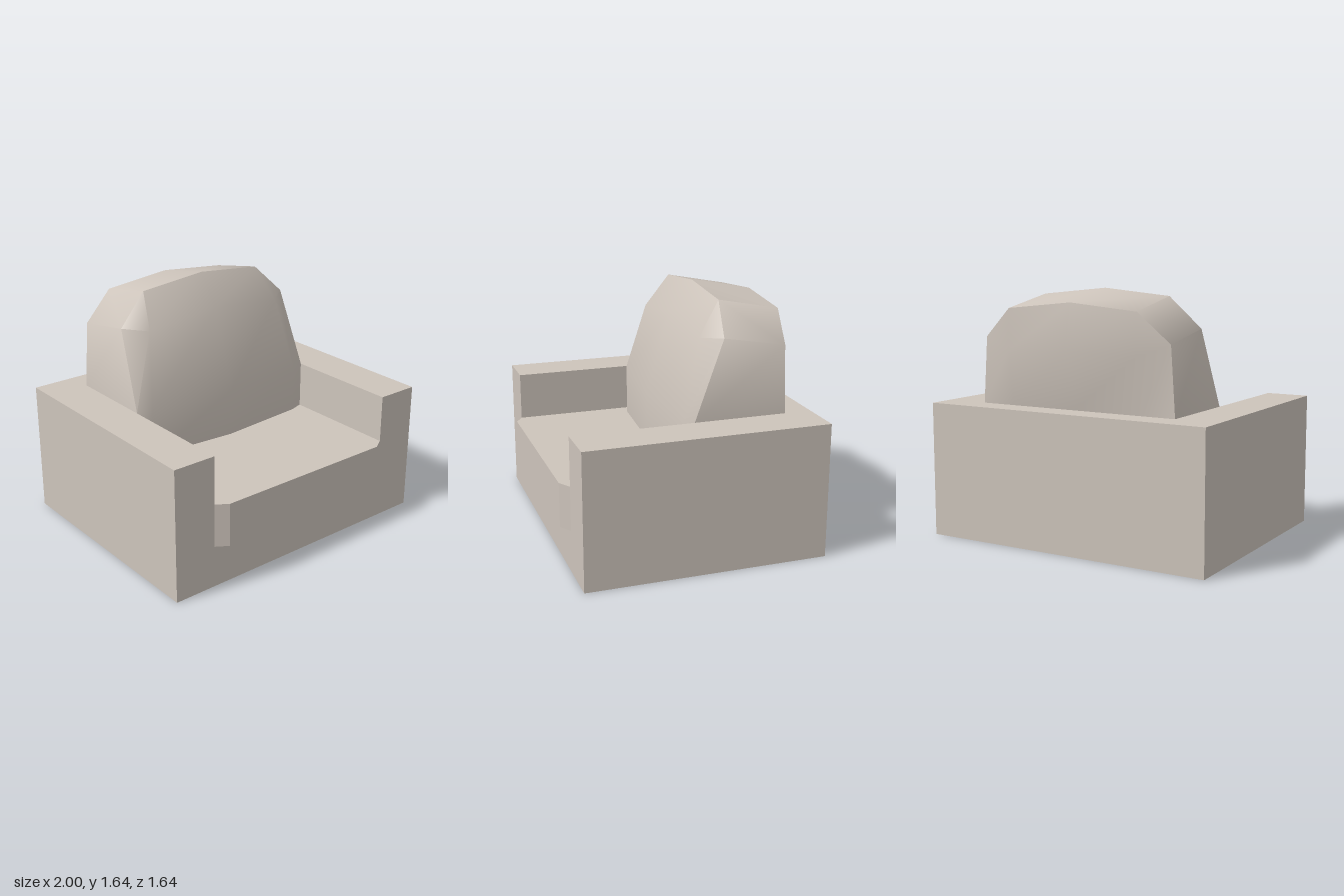
import * as THREE from 'three';
import { toCreasedNormals } from 'three/addons/utils/BufferGeometryUtils.js';

const W = 1, INNER = 0.71, H = 0.89, SEAT = 0.57, SEAM = 0.28, FRONT = 0.77, BACK = -0.82;

// Non-indexed surface from polygons, each a convex counter-clockwise loop of points
function surface(polygons, crease = 0.3) {
  const pos = [];
  for (const p of polygons) {
    for (let i = 1; i < p.length - 1; i++) pos.push(...p[0], ...p[i], ...p[i + 1]);
  }
  const g = new THREE.BufferGeometry();
  g.setAttribute('position', new THREE.Float32BufferAttribute(pos, 3));
  return toCreasedNormals(g, crease);
}

// Quads between successive rows of points
function loft(rows) {
  const out = [];
  for (let i = 0; i < rows.length - 1; i++) {
    for (let j = 0; j < rows[i].length - 1; j++) {
      out.push([rows[i][j], rows[i][j + 1], rows[i + 1][j + 1], rows[i + 1][j]]);
    }
  }
  return out;
}

const flip = (p) => p.map(([x, y, z]) => [-x, y, z]).reverse();

// Full row from its half: centre, shoulder, side
const row = (c, s, e) => [...flip([s, e]), c, s, e];

function shape(points) {
  return new THREE.ShapeGeometry(new THREE.Shape(points.map(([x, y]) => new THREE.Vector2(x, y))));
}

export function createModel() {
  const group = new THREE.Group();
  const fabric = new THREE.MeshStandardMaterial({ color: 0xcdc4bb, side: THREE.DoubleSide });
  fabric.name = 'beige fabric';
  const add = (name, geometry) => {
    const mesh = new THREE.Mesh(geometry, fabric);
    mesh.name = name;
    group.add(mesh);
    return mesh;
  };

  // Outer side and back walls, open underneath
  const side = [[W, 0, FRONT], [W, 0, BACK], [W, H, BACK], [W, H, FRONT]];
  add('outerWalls', surface([
    side, flip(side),
    [[W, 0, BACK], [-W, 0, BACK], [-W, H, BACK], [W, H, BACK]],
  ]));

  // Front wall, cut away where the seat pushes through
  add('frontWall', shape([
    [-W, 0], [W, 0], [W, H], [INNER, H], [INNER, SEAM], [-INNER, SEAM], [-INNER, H], [-W, H],
  ])).position.z = FRONT;

  // Top rim along both arms and behind the backrest (shape y becomes -z)
  const rim = shape([
    [-W, -FRONT], [-INNER, -FRONT], [-INNER, 0.64], [INNER, 0.64], [INNER, -FRONT],
    [W, -FRONT], [W, -BACK], [-W, -BACK],
  ]);
  rim.rotateX(-Math.PI / 2);
  add('armRim', rim).position.y = H;

  // Inner faces of the arms
  const arm = [[INNER, SEAT, -0.03], [INNER, SEAT, FRONT], [INNER, H, FRONT], [INNER, H, -0.03]];
  add('innerArms', surface([arm, flip(arm)]));

  // Seat top with its bevelled front lip
  const lip = (y) => [[-INNER, y, FRONT], [-0.63, y, 0.82], [0.63, y, 0.82], [INNER, y, FRONT]];
  const seatBack = [[INNER, SEAT, -0.03], [0.61, SEAT, 0], [0, SEAT, 0.05], [-0.61, SEAT, 0], [-INNER, SEAT, -0.03]];
  add('seat', surface([
    [...lip(SEAT), ...seatBack],
    ...loft([lip(SEAM), lip(SEAT)]),
    lip(SEAM).reverse(),
  ]));

  // Backrest: sections run up the front, over the crown and down the rear
  const sections = [
    row([0, SEAT, 0.05], [0.61, SEAT, 0], [INNER, SEAT, -0.03]),
    row([0, H, 0.05], [0.61, H, 0], [INNER, H, -0.03]),
    row([0, 1.44, -0.11], [0.53, 1.38, -0.12], [0.675, 1.4, -0.23]),
    row([0, 1.645, -0.27], [0.47, 1.6, -0.27], [0.675, 1.4, -0.23]),
    row([0, 1.565, -0.685], [0.47, 1.52, -0.68], [0.68, 1.33, -0.64]),
    row([0, 1.27, -0.735], [0.47, 1.25, -0.69], [0.68, 1.33, -0.64]),
    row([0, H, -0.64], [0.47, H, -0.64], [INNER, H, -0.64]),
  ];
  const cheek = [[INNER, H, -0.03], [INNER, H, -0.64], [0.68, 1.33, -0.64], [0.675, 1.4, -0.23]];
  add('backrest', surface([...loft(sections), cheek, flip(cheek)], 1.0));

  return group;
}
